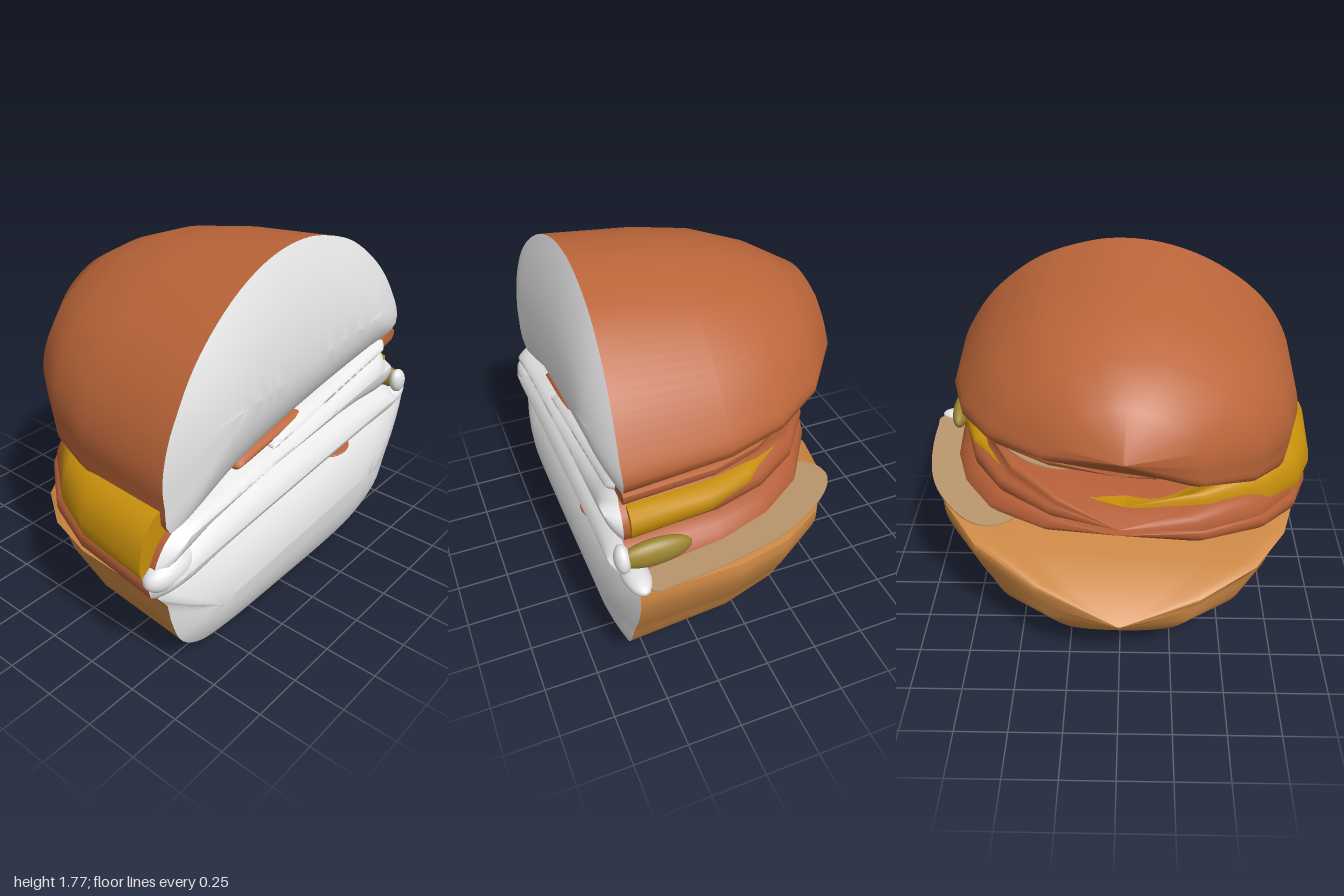
import * as THREE from 'three';
import { toCreasedNormals } from 'three/addons/utils/BufferGeometryUtils.js';

const mat = (name, color) => {
  const m = new THREE.MeshStandardMaterial({ color, side: THREE.DoubleSide });
  m.name = name;
  return m;
};

// Taper from the cut face (t = 0) to the back tip (t = 1): [t, width, height]
const TAPER = [[0, 1, 1], [0.34, 0.97, 0.9], [0.55, 0.885, 0.8], [0.74, 0.71, 0.62], [0.9, 0.41, 0.39], [1, 0.01, 0.01]];
const SEGMENTS = 96;

// Joins rings of equal length into a skin
function skin(rings, flip, crease) {
  const pos = rings.flat(2), idx = [], n = SEGMENTS;
  for (let r = 0; r < rings.length - 1; r++) {
    for (let j = 0; j < n; j++) {
      const a = r * n + j, b = r * n + (j + 1) % n, c = a + n, d = b + n;
      if (flip) idx.push(a, c, b, b, c, d);
      else idx.push(a, b, c, b, d, c);
    }
  }
  const g = new THREE.BufferGeometry();
  g.setAttribute('position', new THREE.Float32BufferAttribute(pos, 3));
  g.setIndex(idx);
  return toCreasedNormals(g, crease);
}

// A layer: front outline (anticlockwise) tapering to a tip, with a bulging cut face
function layer(name, outline, { tip, spine, peak, inset = 0, side, face }) {
  const curve = new THREE.CatmullRomCurve3(outline.map(([x, y]) => new THREE.Vector3(x, y, 0)), true, 'centripetal');
  const pts = curve.getSpacedPoints(SEGMENTS).slice(0, SEGMENTS);
  const rim = x => 0.55 + 0.05 * Math.min(1, (x / 0.8) ** 2) - inset;
  const back = TAPER.map(([t, w, h]) => pts.map(p => {
    const z0 = t === 0 ? rim(p.x) : 0.55;
    return [tip[0] + (p.x - tip[0]) * w, tip[1] + (p.y - tip[1]) * h, z0 + (tip[2] - z0) * t];
  }));
  const [half, base, slope] = spine;
  const front = [1, 0.95, 0.85, 0.7, 0.5, 0.25, 0].map(s => pts.map(p => {
    const cx = half * Math.tanh(p.x / half), cy = base + slope * cx;
    return [cx + (p.x - cx) * s, cy + (p.y - cy) * s, THREE.MathUtils.lerp(rim(p.x), peak, 1 - s * s)];
  }));
  const group = new THREE.Group();
  group.name = name;
  const crust = new THREE.Mesh(skin(back, true, 0.9), side);
  crust.name = name + 'Crust';
  const cut = new THREE.Mesh(skin(front, false, 2), face);
  cut.name = name + 'CutFace';
  group.add(crust, cut);
  return group;
}

// Thin slice lying flat, tilted up toward +x and toward the back
function slice(name, outline, y, tiltX, tiltZ, material) {
  const shape = new THREE.Shape();
  shape.moveTo(outline[0][0], -outline[0][1]);
  shape.splineThru(outline.slice(1).map(([x, z]) => new THREE.Vector2(x, -z)));
  const g = new THREE.ExtrudeGeometry(shape, { depth: 0.008, bevelEnabled: false, curveSegments: 24 });
  g.rotateX(-Math.PI / 2);
  const p = g.attributes.position;
  for (let i = 0; i < p.count; i++) p.setY(i, p.getY(i) + y + tiltX * p.getX(i) - tiltZ * p.getZ(i));
  g.computeVertexNormals();
  const m = new THREE.Mesh(g, material);
  m.name = name;
  return m;
}

function blob(name, at, size, roll, material) {
  const m = new THREE.Mesh(new THREE.SphereGeometry(1, 24, 16), material);
  m.name = name;
  m.position.set(...at);
  m.scale.set(...size);
  m.rotation.z = roll;
  return m;
}

export function createModel() {
  const white = mat('cut face white', 0xe6e6e6);
  const crust = mat('top bun brown', 0xbb6539);
  const heel = mat('bottom bun tan', 0xcc8844);
  const meat = mat('patty brown', 0xb55f38);
  const yellow = mat('cheese yellow', 0xc9900c);
  const beige = mat('onion beige', 0xbd986e);
  const olive = mat('pickle olive', 0x9c8530);

  const model = new THREE.Group();
  model.name = 'halvedBurger';

  // Buns
  model.add(layer('topBun', [
    [-0.85, 0.79], [-0.4, 0.88], [0.2, 0.99], [0.6, 1.07], [0.81, 1.12], [0.84, 1.16], [0.78, 1.3],
    [0.65, 1.48], [0.42, 1.66], [0.2, 1.74], [0.03, 1.765], [-0.2, 1.74], [-0.45, 1.64],
    [-0.7, 1.45], [-0.84, 1.24], [-0.89, 1.05], [-0.88, 0.92],
  ], { tip: [-0.02, 1.27, -0.69], spine: [0.5, 1.25, 0.08], peak: 0.67, side: crust, face: white }));
  model.add(layer('bottomBun', [
    [-0.93, 0.51], [-0.88, 0.45], [-0.85, 0.33], [-0.79, 0.19], [-0.65, 0.08], [-0.4, 0.02], [0, 0],
    [0.4, 0.025], [0.62, 0.08], [0.79, 0.2], [0.88, 0.38], [0.94, 0.5], [0.985, 0.64], [0.98, 0.71],
    [0.6, 0.655], [0, 0.6], [-0.5, 0.555],
  ], { tip: [0, 0.36, -0.69], spine: [0.7, 0.34, 0.07], peak: 0.665, side: heel, face: white }));

  // Lower lip of the top bun, with sauce over its middle
  model.add(layer('bunLip', [
    [-0.42, 0.865], [0.2, 0.95], [0.78, 1.045], [0.82, 1.07], [0.82, 1.11], [0.2, 1.0], [-0.42, 0.895],
  ], { tip: [0, 1.08, -0.5], spine: [1.5, 0.95, 0.16], peak: 0.6, side: crust, face: crust }));
  model.add(layer('sauce', [
    [-0.2, 0.88], [0.3, 0.98], [0.7, 1.04], [0.72, 1.09], [0.3, 1.025], [-0.2, 0.91],
  ], { tip: [0.28, 0.99, 0.5], spine: [1.5, 0.93, 0.18], peak: 0.63, side: white, face: white }));

  // Patties
  model.add(layer('upperPatty', [
    [-0.95, 0.62], [-0.7, 0.7], [-0.3, 0.8], [0.3, 0.81], [0.75, 0.815], [0.8, 0.86], [0.79, 0.94],
    [0.72, 0.98], [0.7, 1.05], [0.5, 1.02], [0, 0.93], [-0.5, 0.86], [-0.87, 0.77],
  ], { tip: [0, 0.84, -0.57], spine: [1.2, 0.87, 0.12], peak: 0.66, side: meat, face: white }));
  model.add(layer('lowerPatty', [
    [-0.97, 0.54], [-0.88, 0.51], [-0.4, 0.56], [0.3, 0.62], [0.88, 0.685], [0.85, 0.75], [0.78, 0.81],
    [0.3, 0.82], [-0.2, 0.785], [-0.6, 0.73], [-0.85, 0.67], [-0.97, 0.63],
  ], { tip: [0, 0.81, -0.57], spine: [1.4, 0.68, 0.09], peak: 0.67, side: meat, face: white }));

  // Cheese between the patties, drooping at the right side
  model.add(layer('cheese', [
    [-0.99, 0.63], [-0.86, 0.73], [-0.5, 0.77], [0, 0.8], [0.4, 0.82], [0.77, 0.835], [0.81, 0.86],
    [0.805, 0.965], [0.5, 0.94], [0, 0.88], [-0.5, 0.83], [-0.87, 0.9], [-0.96, 0.83], [-0.995, 0.72],
  ], { tip: [-0.02, 0.885, -0.46], spine: [1.2, 0.84, 0.07], peak: 0.57, inset: 0.03, side: yellow, face: yellow }));

  // Onion slices
  model.add(slice('lowerOnion', [
    [0.3, 0.56], [0.65, 0.57], [0.97, 0.56], [1, 0.42], [0.97, 0.1], [0.9, -0.15], [0.76, -0.36],
    [0.63, -0.43], [0.5, -0.35], [0.3, 0],
  ], 0.655, 0.1, 0.055, beige));
  model.add(slice('upperOnion', [
    [0.1, 0.4], [0.5, 0.45], [0.68, 0.33], [0.67, 0.05], [0.56, -0.2], [0.39, -0.35], [0.2, -0.32], [0.1, 0],
  ], 0.935, 0.17, 0.1, beige));
  model.add(blob('onionEdge', [0.71, 1.03, 0.47], [0.05, 0.035, 0.1], 0.15, beige));

  // Pickle and the cut ends of the fillings
  model.add(blob('pickle', [0.87, 0.815, 0.49], [0.045, 0.065, 0.16], 0, olive));
  model.add(blob('pickleCutEnd', [0.86, 0.815, 0.63], [0.05, 0.065, 0.035], 0.3, white));
  model.add(blob('onionCutEnd', [0.86, 0.71, 0.58], [0.14, 0.045, 0.06], 0.13, white));
  model.add(blob('pattyCutEnd', [-0.85, 0.62, 0.59], [0.14, 0.075, 0.075], 0.15, white));
  model.add(blob('meatCrumb', [0.34, 0.638, 0.6], [0.09, 0.012, 0.06], 0.1, meat));
  return model;
}
